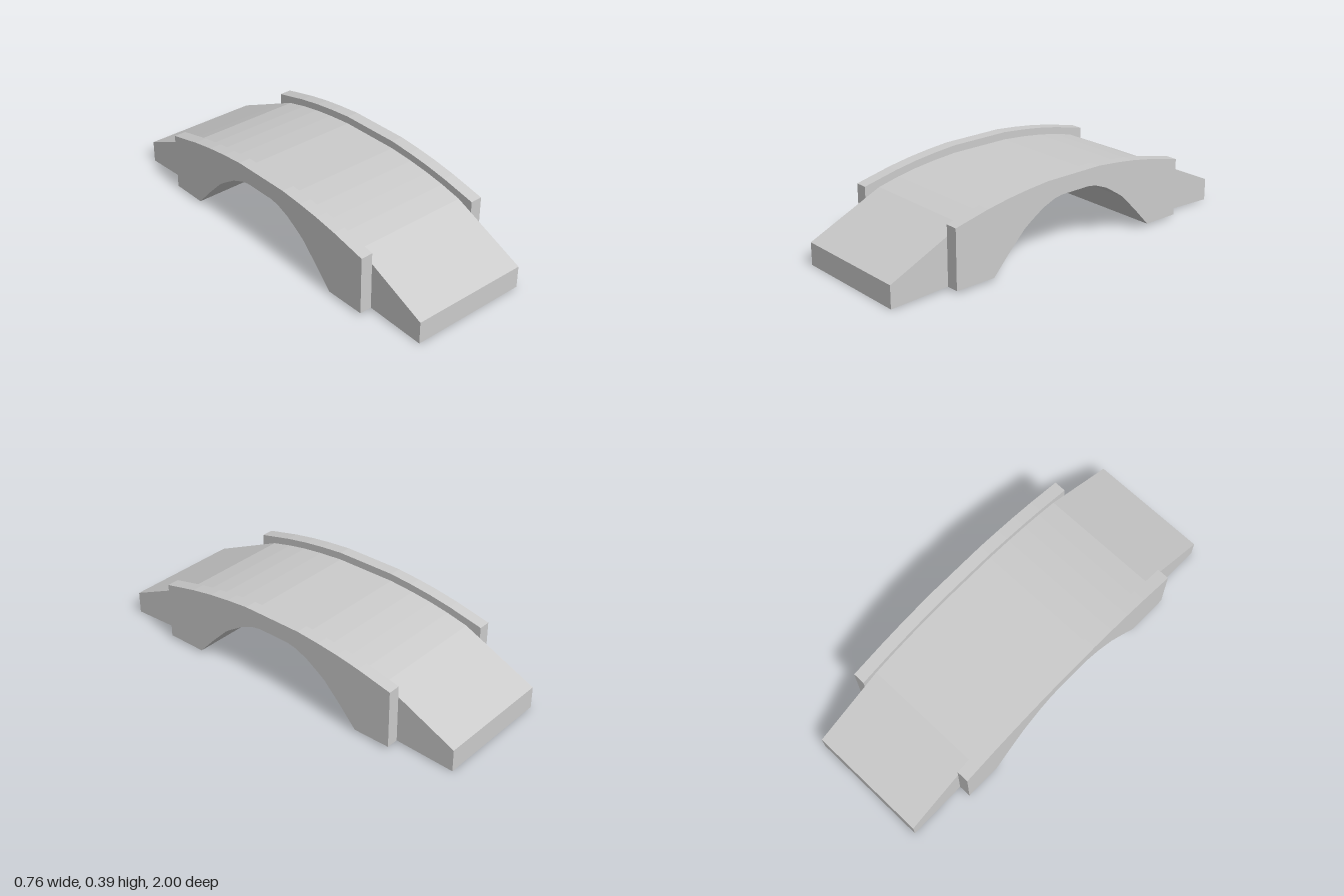
import * as THREE from 'three';

const DECK = 0.308, WALL = 0.37, LEN = 0.995, RAIL = 0.69, FOOT = 0.013;

// half profiles as [z, y], from the end to the middle
const deckHalf = [[LEN, 0.112], [RAIL, 0.25], [0.61, 0.286], [0.5, 0.312], [0.4, 0.33], [0.29, 0.344], [0.16, 0.355]];
const railHalf = [[RAIL, 0.306], [0.51, 0.347], [0.39, 0.368], [0.28, 0.382], [0.16, 0.393]];
const archHalf = [[0.49, FOOT], [0.4, 0.11], [0.31, 0.2], [0.27, 0.228], [0.2, 0.272], [0.13, 0.3], [0.085, 0.308]];

// full profile running from +z to -z
const mirror = (half, shift = 0) => [...half, ...half.map(([z, y]) => [-z, y]).reverse()].map(([z, y]) => [z + shift, y]);

export function createModel() {
  const bridge = new THREE.Group();
  bridge.name = 'bridge';
  const material = new THREE.MeshStandardMaterial({ color: 0xcccccc, flatShading: true, side: THREE.DoubleSide });

  const add = (name, geometry) => {
    const mesh = new THREE.Mesh(geometry, material);
    mesh.name = name;
    bridge.add(mesh);
    return mesh;
  };

  // sheet spanning two rows of [x, y, z] points
  const sheet = (name, a, b) => {
    const index = [];
    for (let i = 0; i < a.length - 1; i++) {
      const j = i + a.length;
      index.push(i, i + 1, j, i + 1, j + 1, j);
    }
    const geometry = new THREE.BufferGeometry();
    geometry.setAttribute('position', new THREE.Float32BufferAttribute([...a, ...b].flat(), 3));
    geometry.setIndex(index);
    geometry.computeVertexNormals();
    return add(name, geometry);
  };
  const at = (profile, x) => profile.map(([z, y]) => [x, y, z]);

  // flat upright panel at a given x
  const panel = (name, outline, x) => {
    const shape = new THREE.Shape(outline.map(([z, y]) => new THREE.Vector2(z, y)));
    add(name, new THREE.ShapeGeometry(shape).rotateY(-Math.PI / 2)).position.x = x;
  };

  const deck = mirror(deckHalf), rail = mirror(railHalf), arch = mirror(archHalf, -0.01);

  // road surface and arched underside
  sheet('deck', at(deck, DECK), at(deck, -DECK));
  sheet('archUnderside', at(arch, -WALL), at(arch, WALL));

  for (const s of [1, -1]) {
    const side = s > 0 ? 'left' : 'right';
    // outer wall with the arch cut out
    panel(side + 'Wall', [...rail, [-RAIL, FOOT], ...[...arch].reverse(), [RAIL, FOOT]], s * WALL);
    // parapet top and the inner face above the road
    sheet(side + 'ParapetTop', at(rail, s * WALL), at(rail, s * DECK));
    panel(side + 'ParapetInside', [...rail, ...deck.slice(1, -1).reverse()], s * DECK);

    for (const e of [1, -1]) {
      const end = e > 0 ? 'Front' : 'Back';
      // parapet end and ramp side
      sheet(side + end + 'ParapetEnd',
        [[s * DECK, FOOT, e * RAIL], [s * WALL, FOOT, e * RAIL]],
        [[s * DECK, 0.306, e * RAIL], [s * WALL, 0.306, e * RAIL]]);
      panel(side + end + 'RampSide',
        [[e * RAIL, FOOT], [e * LEN, 0], [e * LEN, 0.112], [e * RAIL, 0.25]], s * DECK);
    }
  }

  // upright faces at the foot of each ramp
  for (const e of [1, -1]) {
    sheet(e > 0 ? 'frontRampEnd' : 'backRampEnd',
      [[-DECK, 0, e * LEN], [DECK, 0, e * LEN]],
      [[-DECK, 0.112, e * LEN], [DECK, 0.112, e * LEN]]);
  }

  // slight turn of the whole bridge
  bridge.rotation.y = 0.0135;
  const model = new THREE.Group();
  model.add(bridge);
  return model;
}
